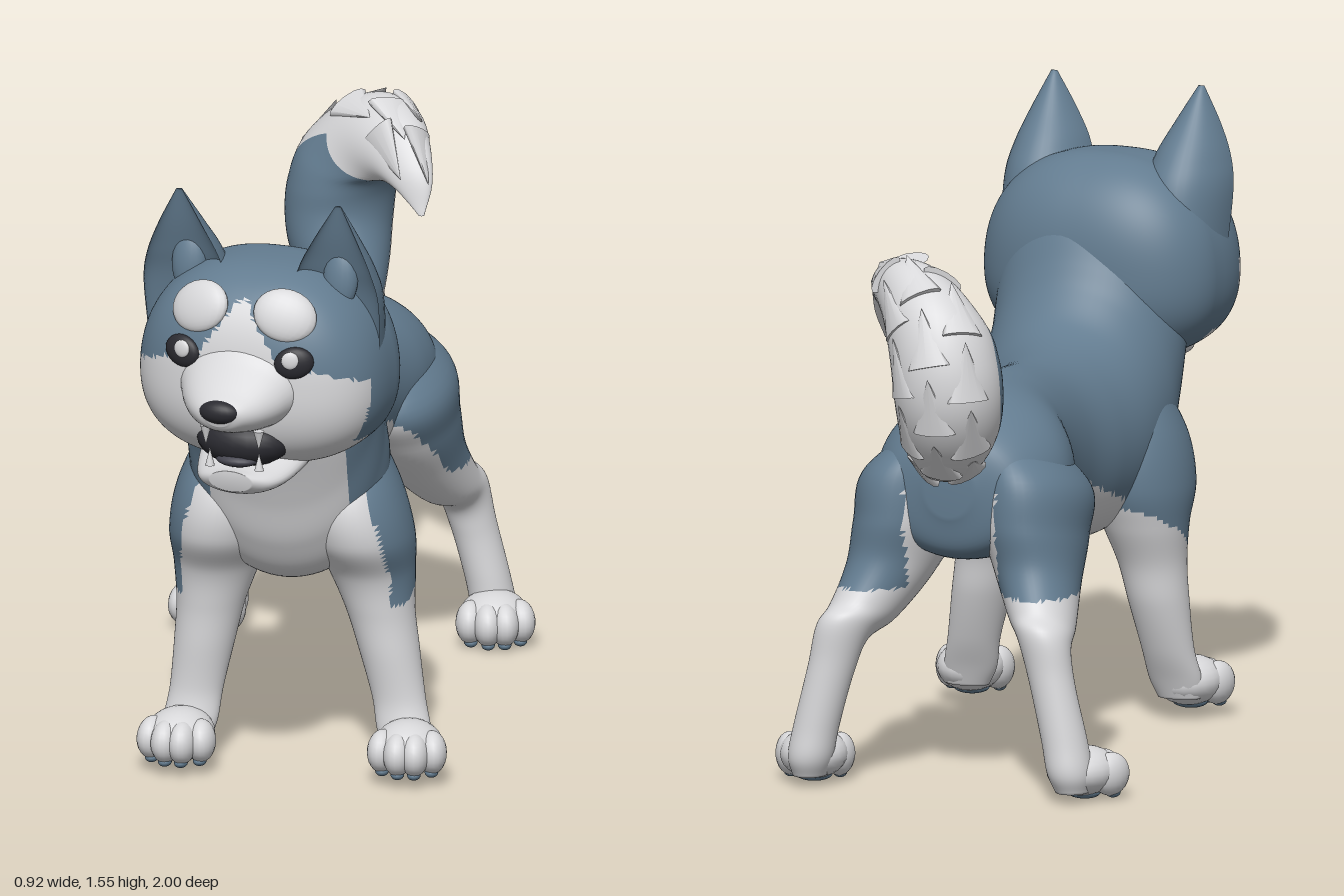
import * as THREE from 'three';
import { mergeVertices } from 'three/addons/utils/BufferGeometryUtils.js';

const mat = (name, color) => Object.assign(new THREE.MeshStandardMaterial({ color }), { name });
const coat = mat('blue grey coat', 0x637c90);
const white = mat('pale fur', 0xd8d8da);
const dark = mat('dark nose and mouth', 0x2a2a30);
const tongueGrey = mat('tongue grey', 0x44444e);
const COATS = [coat, white];

// Sections: [z1, y1, z2, y2, halfWidth, centreX]; the two points are opposite ends of each ring.
function surface(sections, dent = 1) {
  const curve = f => new THREE.CatmullRomCurve3(sections.map(f), false, 'catmullrom', 0.5);
  const c1 = curve(s => new THREE.Vector3(s[5] || 0, s[1], s[0]));
  const c2 = curve(s => new THREE.Vector3(s[5] || 0, s[3], s[2]));
  const cw = curve(s => new THREE.Vector3(s[4], 0, 0));
  return (t, a, k = 1) => {
    const p = c1.getPoint(t), q = c2.getPoint(t);
    const mid = p.clone().add(q).multiplyScalar(0.5);
    const c = Math.cos(a) * (Math.cos(a) < 0 ? dent : 1);
    const out = mid.clone().addScaledVector(p.sub(mid), c * k);
    out.x += Math.max(cw.getPoint(t).x, 0) * Math.sin(a) * k;
    return out;
  };
}

// Splits triangles into coat (rule false) and pale fur (rule true)
function paint(geo, rule) {
  const idx = geo.index.array, pos = geo.attributes.position, out = [[], []];
  const v = new THREE.Vector3(), c = new THREE.Vector3();
  for (let i = 0; i < idx.length; i += 3) {
    c.set(0, 0, 0);
    for (let k = 0; k < 3; k++) c.add(v.fromBufferAttribute(pos, idx[i + k]));
    out[rule(c.divideScalar(3), i / 3) ? 1 : 0].push(idx[i], idx[i + 1], idx[i + 2]);
  }
  geo.setIndex([...out[0], ...out[1]]);
  geo.addGroup(0, out[0].length, 0);
  geo.addGroup(out[0].length, out[1].length, 1);
  return geo;
}

function loft(name, sections, material, rule, { rings = 70, sides = 48, dent = 1 } = {}) {
  const f = surface(sections, dent), pos = [], idx = [];
  for (let i = -1; i <= rings + 1; i++) {
    const t = Math.min(Math.max(i / rings, 0), 1), k = i < 0 || i > rings ? 0 : 1;
    for (let j = 0; j < sides; j++) pos.push(...f(t, j / sides * Math.PI * 2, k).toArray());
  }
  for (let i = 0; i < rings + 2; i++) for (let j = 0; j < sides; j++) {
    const A = i * sides + j, B = i * sides + (j + 1) % sides, C = A + sides, D = B + sides;
    idx.push(A, C, B, B, C, D);
  }
  const geo = new THREE.BufferGeometry();
  geo.setAttribute('position', new THREE.Float32BufferAttribute(pos, 3));
  geo.setIndex(idx);
  geo.computeVertexNormals();
  if (rule) paint(geo, (p, n) => {
    const q = Math.floor(n / 2);
    return rule(p, Math.floor(q / sides) / rings, (q % sides + 0.5) / sides * Math.PI * 2);
  });
  const mesh = new THREE.Mesh(geo, material);
  mesh.name = name;
  return mesh;
}

const ball = new THREE.SphereGeometry(1, 20, 14);
function blob(name, material, p, r, rot = [0, 0, 0]) {
  const m = new THREE.Mesh(ball, material);
  m.name = name;
  m.position.set(...p); m.scale.set(...r); m.rotation.set(...rot);
  return m;
}
function cone(name, material, r, h) {
  const m = new THREE.Mesh(new THREE.ConeGeometry(r, h, 12), material);
  m.name = name;
  return m;
}

function paw(name, x, y, z, yaw) {
  const g = new THREE.Group();
  g.name = name;
  g.add(blob('pawBody', white, [0, 0.066, -0.008], [0.085, 0.062, 0.1]));
  g.add(blob('heelPad', coat, [0, 0.012, -0.005], [0.046, 0.017, 0.036]));
  [-1.5, -0.5, 0.5, 1.5].forEach(k => {
    const back = Math.abs(k) > 1 ? 0.028 : 0;
    g.add(blob('toe', white, [k * 0.041, 0.058, 0.052 - back], [0.037, 0.054, 0.056], [0, k * 0.12, 0]));
    g.add(blob('toePad', coat, [k * 0.041, 0.01, 0.064 - back], [0.017, 0.013, 0.022]));
  });
  g.position.set(x, y, z);
  g.rotation.y = yaw;
  return g;
}

function frontLeg(s, top, foot, edge) {
  const g = new THREE.Group();
  g.name = s > 0 ? 'leftFrontLeg' : 'rightFrontLeg';
  const rows = [[0.86, 0.45, 0.3, 0.06], [0.72, 0.54, 0.23, 0.122], [0.6, 0.545, 0.22, 0.13], [0.5, 0.485, 0.25, 0.108],
    [0.4, 0.465, 0.29, 0.086], [0.3, 0.46, 0.31, 0.076], [0.18, 0.455, 0.35, 0.067], [0.1, 0.47, 0.385, 0.068], [0.05, 0.47, 0.405, 0.055]];
  const sec = rows.map(([y, f, b, w]) => [f, y, b, y, w, top + (foot - top) * Math.min(Math.max((0.7 - y) / 0.7, 0), 1)]);
  g.add(loft('foreleg', sec, COATS, p =>
    p.y < 0.43 + Math.max(0, 0.42 - p.z) * 0.65 ||
    s * p.x < edge + (p.z - 0.45) * (p.z > 0.45 ? 0.3 : 0.6) - Math.max(0, p.y - 0.5) * 0.3));
  g.add(paw('frontPaw', foot, 0.02, 0.5, s * 0.08));
  return g;
}

function hindLeg(s) {
  const g = new THREE.Group();
  g.name = s > 0 ? 'leftHindLeg' : 'rightHindLeg';
  const sec = [[-0.36, 0.88, -0.55, 0.88, 0.05, 0.09], [-0.23, 0.71, -0.635, 0.78, 0.125, 0.155], [-0.29, 0.59, -0.655, 0.66, 0.125, 0.17],
    [-0.4, 0.48, -0.655, 0.56, 0.105, 0.195], [-0.52, 0.385, -0.7, 0.465, 0.083, 0.235], [-0.61, 0.345, -0.745, 0.42, 0.066, 0.265],
    [-0.635, 0.27, -0.75, 0.31, 0.058, 0.29], [-0.64, 0.15, -0.76, 0.15, 0.057, 0.325],
    [-0.64, 0.07, -0.765, 0.07, 0.056, 0.34], [-0.64, 0.02, -0.745, 0.02, 0.042, 0.345]];
  g.add(loft('thighAndHock', sec.map(r => [...r.slice(0, 5), s * r[5]]), COATS, p =>
    p.y < 0.49 + Math.max(0, p.z + 0.45) * 0.85 || (s * p.x < 0.12 && p.y < 0.74)));
  g.add(paw('hindPaw', s * 0.355, 0, -0.635, s * 0.25));
  return g;
}

function buildTail() {
  const g = new THREE.Group();
  g.name = 'tail';
  const sec = [[-0.58, 0.8, -0.55, 0.9, 0.05, 0], [-0.68, 0.8, -0.62, 0.925, 0.07, -0.01], [-0.8, 0.8, -0.67, 0.95, 0.1, -0.04],
    [-0.91, 0.87, -0.7, 1, 0.125, -0.065], [-0.98, 0.99, -0.715, 1.05, 0.135, -0.075], [-0.985, 1.13, -0.715, 1.1, 0.137, -0.065],
    [-0.93, 1.265, -0.71, 1.14, 0.135, -0.03], [-0.82, 1.35, -0.69, 1.16, 0.118, 0.04], [-0.69, 1.32, -0.66, 1.165, 0.088, 0.1],
    [-0.61, 1.22, -0.62, 1.15, 0.052, 0.15], [-0.58, 1.11, -0.585, 1.115, 0.008, 0.18]];
  g.add(loft('tailBrush', sec, COATS, (p, t, a) => t > 0.1 && (Math.cos(a) > -0.05 || t > 0.69)));
  // Broad flat fur tufts lying along the outer side of the curl
  const f = surface(sec), basis = new THREE.Matrix4();
  for (let i = 0; i < 11; i++) for (const a of i % 2 ? [0] : [-0.75, 0.75]) {
    const t = 0.2 + i * 0.062, p = f(t, a), n = p.clone().sub(f(t, a, 0)).normalize();
    const d = f(t + 0.06, a).sub(p).normalize().addScaledVector(n, 0.12).normalize();
    const side = d.clone().cross(n).normalize();
    const tuft = cone('furTuft', white, 0.055, 0.15);
    tuft.quaternion.setFromRotationMatrix(basis.makeBasis(side, d, side.clone().cross(d)));
    tuft.scale.z = 0.35;
    tuft.position.copy(p).addScaledVector(n, -0.012).addScaledVector(d, 0.05);
    g.add(tuft);
  }
  return g;
}

function buildHead() {
  const g = new THREE.Group();
  g.name = 'head';
  // Skull with full cheeks and a flattened face
  const sphere = new THREE.SphereGeometry(1, 112, 80);
  sphere.deleteAttribute('uv'); sphere.deleteAttribute('normal');
  const geo = mergeVertices(sphere), P = geo.attributes.position;
  const pw = (v, e) => Math.sign(v) * Math.pow(Math.abs(v), e);
  for (let i = 0; i < P.count; i++) {
    const x = P.getX(i), y = P.getY(i), z = P.getZ(i);
    P.setXYZ(i, pw(x, 0.8) * (0.32 - 0.03 * Math.max(y, 0)), pw(y, 0.8) * (y > 0 ? 0.285 : 0.235),
      z > 0 ? pw(z, 0.65) * 0.28 : z * 0.2);
  }
  geo.computeVertexNormals();
  paint(geo, p => {
    const ax = Math.abs(p.x);
    const cheek = p.z > 0.14 && p.y < 0.06 - 0.35 * Math.max(0, ax - 0.19);
    const blaze = p.z > 0.1 && ax < 0.09 * (0.23 - p.y) / 0.13;
    return cheek || blaze || (p.y < -0.15 && p.z > 0.06);
  });
  const skull = new THREE.Mesh(geo, COATS);
  skull.name = 'skull';
  g.add(skull);

  // Muzzle, open mouth and lower jaw
  g.add(loft('muzzle', [[0.1, 0.2, 0.1, -0.12, 0.13], [0.24, 0.125, 0.22, -0.112, 0.155], [0.3, 0.072, 0.28, -0.105, 0.137],
    [0.36, 0.026, 0.34, -0.092, 0.1], [0.4, 0, 0.385, -0.075, 0.062], [0.41, -0.02, 0.4, -0.06, 0.03]], white, null, { rings: 40, sides: 40 }));
  g.add(loft('lowerJaw', [[0.1, -0.13, 0.1, -0.25, 0.15], [0.22, -0.185, 0.2, -0.268, 0.125], [0.28, -0.2, 0.27, -0.27, 0.098],
    [0.32, -0.2, 0.31, -0.255, 0.055]], white, null, { rings: 30, sides: 40 }));
  g.add(blob('mouthInside', dark, [0, -0.145, 0.22], [0.12, 0.065, 0.08]));
  g.add(blob('tongue', tongueGrey, [0, -0.183, 0.265], [0.055, 0.018, 0.04]));
  g.add(blob('nose', dark, [0, -0.024, 0.39], [0.053, 0.03, 0.03]));

  for (const s of [-1, 1]) {
    const fang = cone('upperFang', white, 0.014, 0.05);
    fang.position.set(s * 0.07, -0.118, 0.3); fang.rotation.x = Math.PI;
    const low = cone('lowerFang', white, 0.012, 0.045);
    low.position.set(s * 0.065, -0.178, 0.285);
    g.add(fang, low);
    // Eyes and brow spots
    g.add(blob('eye', dark, [s * 0.147, 0.08, 0.258], [0.05, 0.04, 0.02], [-0.1, s * 0.25, s * 0.25]));
    g.add(blob('iris', white, [s * 0.143, 0.09, 0.275], [0.022, 0.022, 0.008], [-0.1, s * 0.25, 0]));
    g.add(blob('browSpot', white, [s * 0.112, 0.19, 0.227], [0.08, 0.066, 0.028], [-0.4, s * 0.25, s * -0.2]));
    // Cupped pointed ear
    g.add(loft(s > 0 ? 'leftEar' : 'rightEar', [[-0.08, 0.06, 0.24, 0.06, 0.08, s * 0.225], [-0.06, 0.2, 0.26, 0.2, 0.11, s * 0.2],
      [-0.02, 0.28, 0.25, 0.28, 0.095, s * 0.2], [0.04, 0.36, 0.2, 0.36, 0.058, s * 0.205], [0.108, 0.45, 0.125, 0.45, 0.008, s * 0.21]],
    coat, null, { rings: 30, sides: 40, dent: -0.3 }));
    g.add(blob('earLobe', coat, [s * 0.2, 0.25, 0.07], [0.045, 0.08, 0.03], [-0.15, 0, 0]));
  }
  g.position.set(0.025, 1.1, 0.58);
  g.rotation.y = -0.18;
  return g;
}

export function createModel() {
  const model = new THREE.Group();
  model.name = 'dog';
  // Rump, barrel, chest and neck in one skin
  const body = [[-0.645, 0.82, -0.645, 0.68, 0.06, 0], [-0.605, 0.89, -0.61, 0.58, 0.18, 0], [-0.5, 0.945, -0.48, 0.55, 0.24, 0],
    [-0.38, 0.97, -0.36, 0.56, 0.235, 0], [-0.2, 0.972, -0.2, 0.55, 0.175, 0.01], [0, 0.96, 0, 0.5, 0.165, 0.015],
    [0.15, 0.97, 0.16, 0.475, 0.2, 0.02], [0.25, 1.005, 0.32, 0.465, 0.235, 0.025], [0.32, 1.075, 0.47, 0.5, 0.25, 0.03],
    [0.36, 1.14, 0.55, 0.6, 0.247, 0.03], [0.4, 1.22, 0.595, 0.72, 0.247, 0.03], [0.45, 1.295, 0.64, 0.83, 0.245, 0.03], [0.52, 1.355, 0.68, 0.91, 0.2, 0.03]];
  const belly = z => z > -0.15 ? 0.715 - (z + 0.15) * 0.36 : 0.715 + (z + 0.15) * 0.4;
  model.add(loft('body', body, COATS, p =>
    (p.z < 0.4 && p.y < belly(p.z)) || (p.z > 0.47 + (p.y - 0.55) * 0.4 && Math.abs(p.x - 0.03) < 0.2) || (p.z >= 0.4 && p.y < 0.53),
  { rings: 110, sides: 72 }));
  model.add(frontLeg(-1, -0.13, -0.23, 0.235), frontLeg(1, 0.185, 0.345, 0.29));
  model.add(hindLeg(-1), hindLeg(1));
  model.add(buildTail(), buildHead());
  return model;
}
